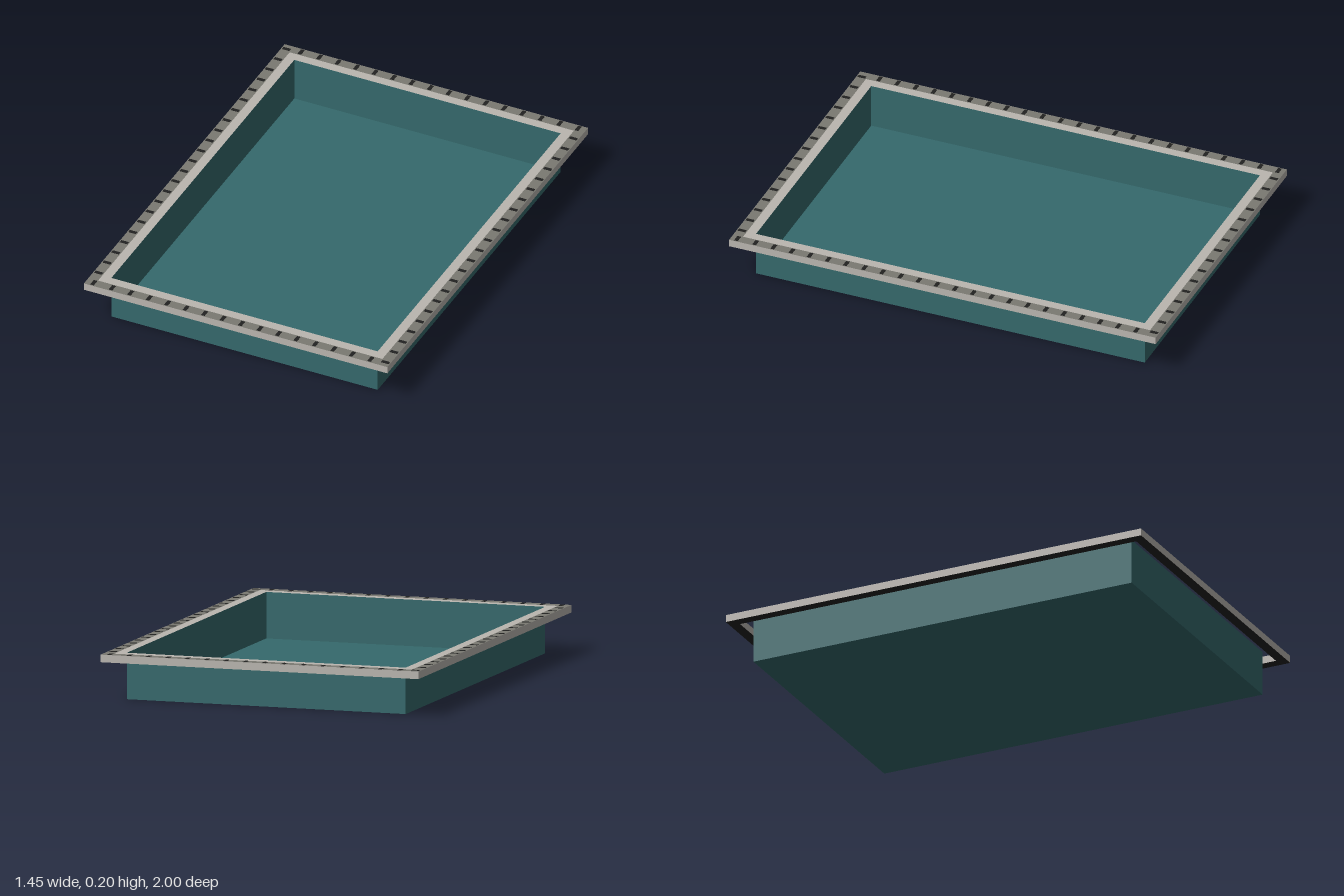
import * as THREE from 'three';

const mat = (name, color, side = THREE.FrontSide) => {
  const m = new THREE.MeshStandardMaterial({ color, side });
  m.name = name;
  return m;
};

export function createModel() {
  const teal = mat('teal lining', 0x35696c, THREE.DoubleSide);
  const stone = mat('pale stone', 0xbab6b0);
  const grey = mat('grate grey', 0x7a7972);
  const black = mat('slot black', 0x222221);

  const W = 0.727, L = 1;            // outer half sizes
  const IW = 0.638, IL = 0.911;      // basin half sizes
  const G = 0.046;                   // width of the drain
  const TOP = 0.203, LIP = 0.17;

  const pool = new THREE.Group();
  pool.name = 'pool';
  const add = (parent, name, geometry, material, x = 0, y = 0, z = 0) => {
    const mesh = new THREE.Mesh(geometry, material);
    mesh.name = name;
    mesh.position.set(x, y, z);
    parent.add(mesh);
    return mesh;
  };

  // Open-topped basin: a box without its top face
  const basin = new THREE.BoxGeometry(IW * 2, TOP, IL * 2);
  const index = Array.from(basin.index.array);
  index.splice(12, 6);
  basin.setIndex(index);
  basin.clearGroups();
  add(pool, 'basin', basin, teal, 0, TOP / 2, 0);

  // Flat coping between the basin and the drain
  const rect = (Type, w, l) => new Type([
    new THREE.Vector2(-w, -l), new THREE.Vector2(w, -l),
    new THREE.Vector2(w, l), new THREE.Vector2(-w, l)]);
  const coping = rect(THREE.Shape, W - G, L - G);
  coping.holes.push(rect(THREE.Path, IW, IL));
  add(pool, 'coping', new THREE.ShapeGeometry(coping).rotateX(-Math.PI / 2), stone, 0, TOP, 0);

  // Drain: stone sides, grey grate on top, black underside
  const faces = [stone, stone, grey, black, stone, stone];
  const drain = (name, w, l, x, z) =>
    [add(new THREE.Group(), name, new THREE.BoxGeometry(w, TOP - LIP, l), faces, x, (TOP + LIP) / 2, z)][0];
  const slotLong = new THREE.BoxGeometry(0.036, 0.002, 0.017);
  const slotShort = new THREE.BoxGeometry(0.017, 0.002, 0.036);

  // One side strip and one end strip, repeated by a half turn
  for (const turn of [0, Math.PI]) {
    const half = new THREE.Group();
    half.name = turn ? 'drainLeftFront' : 'drainRightBack';
    half.rotation.y = turn;
    pool.add(half);

    half.add(drain('sideDrain', G, L * 2 - G, -W + G / 2, -G / 2));
    for (let i = 0; i < 23; i++) {
      add(half, 'sideSlot', slotLong, black, -W + G / 2, TOP, -0.97 + i * 0.085);
    }
    half.add(drain('endDrain', W * 2 - G, G, G / 2, -L + G / 2));
    for (let i = 0; i < 16; i++) {
      add(half, 'endSlot', slotShort, black, -0.637 + i * 0.0885, TOP, -L + G / 2);
    }
  }
  return pool;
}
